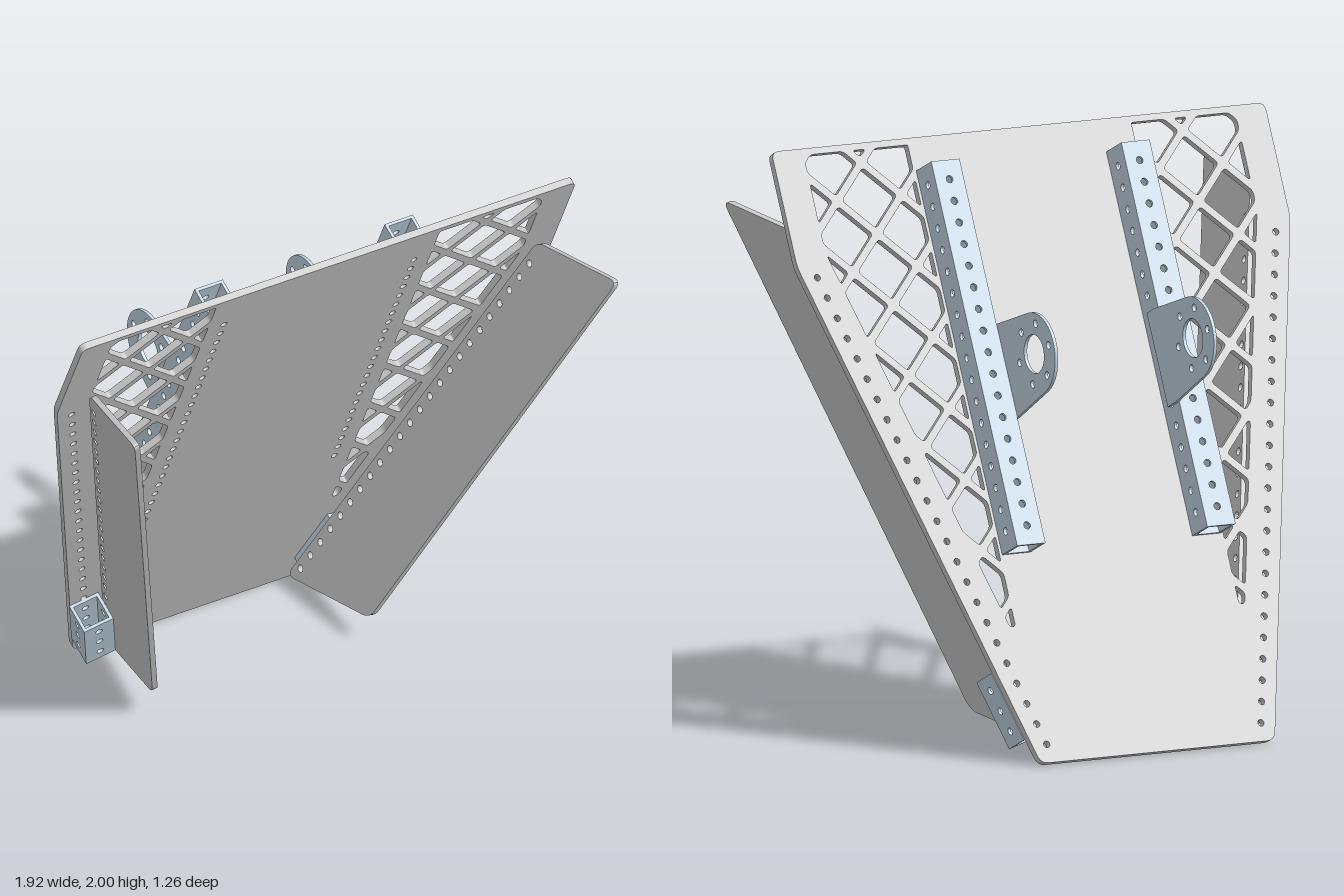
import * as THREE from 'three';

const TILT = THREE.MathUtils.degToRad(25);
const T = 0.026;          // main plate thickness
const PITCH = 0.076;      // hole spacing
const TUBE = 0.11;        // square tube width
const TAPER = Math.atan(0.2815);
const grey = new THREE.MeshStandardMaterial({ color: 0xcccccc });
const steel = new THREE.MeshStandardMaterial({ color: 0xc4d6e4 });

// Closed outline with softened corners
function roundedPath(pts, r, Type = THREE.Shape) {
  const path = new Type();
  pts.forEach((p, i) => {
    const prev = pts[(i + pts.length - 1) % pts.length], next = pts[(i + 1) % pts.length];
    const toward = q => p.clone().lerp(q, Math.min(0.4, r / p.distanceTo(q)));
    const a = toward(prev), b = toward(next);
    if (i === 0) path.moveTo(a.x, a.y); else path.lineTo(a.x, a.y);
    path.quadraticCurveTo(p.x, p.y, b.x, b.y);
  });
  path.closePath();
  return path;
}

const points = list => list.map(([x, y]) => new THREE.Vector2(x, y));

function addHole(shape, x, y, r = 0.013) {
  shape.holes.push(new THREE.Path().absarc(x, y, r, 0, Math.PI * 2, true));
}

function extrude(shape, depth, material, name, curveSegments = 6) {
  const geo = new THREE.ExtrudeGeometry(shape, { depth, bevelEnabled: false, curveSegments });
  const mesh = new THREE.Mesh(geo, material);
  mesh.name = name;
  return mesh;
}

// Part of a convex polygon where n.p <= c
function clip(poly, nx, ny, c) {
  const out = [];
  poly.forEach((p, i) => {
    const q = poly[(i + 1) % poly.length];
    const dp = nx * p.x + ny * p.y - c, dq = nx * q.x + ny * q.y - c;
    if (dp <= 0) out.push(p);
    if (dp * dq < 0) out.push(p.clone().lerp(q, dp / (dp - dq)));
  });
  return out;
}

// Diamond openings that leave a crossed lattice inside the window
function latticeOpenings(window) {
  const step = 0.177, half = 0.013, k = Math.SQRT1_2, cells = [];
  for (let i = 0; i < 20; i++) {
    for (let j = -14; j < 6; j++) {
      let c = clip(window, k, k, (i + 1) * step - half);
      c = clip(c, -k, -k, -i * step - half);
      c = clip(c, k, -k, (j + 1) * step - half);
      c = clip(c, -k, k, -j * step - half);
      c = c.filter((p, n) => p.distanceTo(c[(n + 1) % c.length]) > 0.004);
      if (c.length > 2 && Math.abs(THREE.ShapeUtils.area(c)) > 0.0005) cells.push(c);
    }
  }
  return cells;
}

// Main tapered plate with lattice windows and hole rows
function mainPlate() {
  const right = [[0.455, 0], [0.96, 1.79], [0.96, 2.195]];
  const left = right.map(([x, y]) => [-x, y]).reverse();
  const shape = roundedPath(points([...right, ...left]), 0.03);
  const window = points([[0.435, 0.48], [0.457, 0.48], [0.84, 1.83], [0.84, 2.172], [0.435, 2.172]]);
  const cells = latticeOpenings(window);
  for (const s of [-1, 1]) {
    for (const cell of cells) {
      const pts = cell.map(p => new THREE.Vector2(s * p.x, p.y));
      shape.holes.push(roundedPath(pts, 0.014, THREE.Path));
    }
    for (let i = 0; i < 24; i++) {
      const v = 0.064 + i * PITCH * Math.cos(TAPER);
      addHole(shape, s * (0.417 + 0.2825 * (v - 0.064)), v, 0.012);
    }
    for (let i = 0; i < 23; i++) addHole(shape, s * 0.37, 0.78 + i * 0.0568, 0.012);
  }
  return extrude(shape, T, grey, 'mainPlate');
}

// Hollow square tube along y, perforated on all four walls, centred on its axis
function perforatedTube(length, count, name) {
  const tube = new THREE.Group();
  tube.name = name;
  const h = TUBE / 2, wall = 0.011;
  for (let side = 0; side < 4; side++) {
    const shape = new THREE.Shape(points([[-h, 0], [h - wall, 0], [h - wall, length], [-h, length]]));
    const start = (length - (count - 1) * PITCH) / 2;
    for (let i = 0; i < count; i++) addHole(shape, 0, start + i * PITCH);
    const mesh = extrude(shape, wall, steel, name + 'Wall');
    mesh.geometry.translate(0, 0, h - wall);
    mesh.rotation.y = side * Math.PI / 2;
    tube.add(mesh);
  }
  return tube;
}

// Rounded lug with a large bore and a ring of bolt holes
function lug() {
  const shape = new THREE.Shape();
  shape.moveTo(-0.165, 0.26);
  shape.lineTo(-0.165, 0.204);
  shape.absarc(0, 0, 0.14, Math.PI + 0.117, Math.PI * 2 - 0.117, false);
  shape.lineTo(0.165, 0.204);
  shape.lineTo(0.165, 0.26);
  shape.closePath();
  addHole(shape, 0, 0, 0.066);
  for (let i = 0; i < 6; i++) {
    const a = i * Math.PI / 3 + Math.PI / 6;
    addHole(shape, Math.cos(a) * 0.105, Math.sin(a) * 0.105);
  }
  const mesh = extrude(shape, 0.012, steel, 'mountingLug', 20);
  // Shape x runs along the plate, shape y along its normal
  mesh.geometry.applyMatrix4(new THREE.Matrix4().makeBasis(
    new THREE.Vector3(0, 1, 0), new THREE.Vector3(0, 0, 1), new THREE.Vector3(1, 0, 0)));
  mesh.position.set(0.303, 1.335, -0.308);
  return mesh;
}

// Side fin standing square to the plate, following its tapered edge
function sideFin() {
  const shape = roundedPath(points([[0.055, 0.075], [0.42, 0.325], [0.405, 2.23], [0.055, 1.985]]), 0.04);
  for (let i = 0; i < 24; i++) addHole(shape, 0.083, 0.15 + i * PITCH);
  const mesh = extrude(shape, 0.02, grey, 'sideFin');
  mesh.rotation.y = -Math.PI / 2;
  mesh.position.x = 0.01;
  return mesh;
}

// Everything mounted on one side of the plate
function sideAssembly(name) {
  const side = new THREE.Group();
  side.name = name;

  const rail = perforatedTube(1.35, 17, 'rail');
  rail.position.set(0.37, 0.73, -TUBE / 2);
  side.add(rail, lug());

  const finGroup = new THREE.Group();
  finGroup.name = 'finAssembly';
  finGroup.position.x = 0.333;
  finGroup.rotation.z = -TAPER;
  const clamp = perforatedTube(0.25, 3, 'finClamp');
  clamp.position.set(0.01 + TUBE / 2, 0.13, T + TUBE / 2);
  finGroup.add(sideFin(), clamp);
  side.add(finGroup);
  return side;
}

export function createModel() {
  const model = new THREE.Group();
  model.name = 'model';
  const tilted = new THREE.Group();
  tilted.name = 'tiltedAssembly';
  tilted.rotation.x = TILT;
  tilted.position.set(0, T * Math.sin(TILT), -0.637);
  const leftSide = sideAssembly('leftSide');
  const rightSide = sideAssembly('rightSide');
  rightSide.scale.x = -1;
  tilted.add(mainPlate(), leftSide, rightSide);
  model.add(tilted);
  return model;
}
